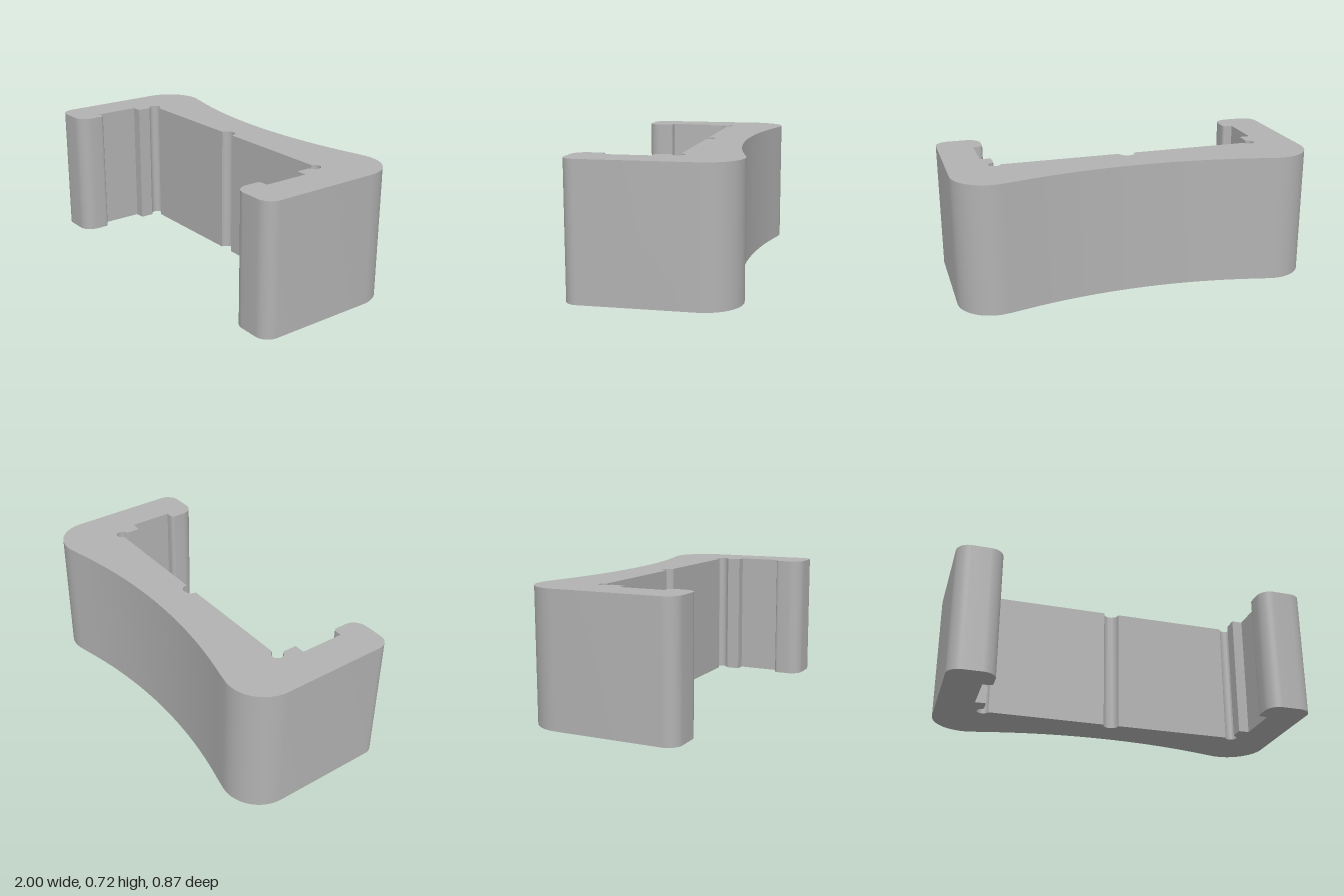
import * as THREE from 'three';
import { toCreasedNormals } from 'three/addons/utils/BufferGeometryUtils.js';

const HEIGHT = 0.72;

// Points along a circular arc, angles in degrees
function arc(cx, cy, r, from, to, steps) {
  return Array.from({ length: steps + 1 }, (_, i) => {
    const a = THREE.MathUtils.degToRad(from + ((to - from) * i) / steps);
    return new THREE.Vector2(cx + r * Math.cos(a), cy + r * Math.sin(a));
  });
}
const pt = (x, y) => new THREE.Vector2(x, y);

// Left half of the plan outline (shape y points to the back)
function halfOutline() {
  return [
    // centre groove and inner wall
    ...arc(0, 0.1, 0.045, 90, 0, 8),
    // relief groove in the inner corner
    ...arc(0.74, 0.093, 0.033, 168, -78, 18),
    // step and channel
    pt(0.74, 0.052), pt(0.74, -0.025), pt(0.8, -0.025), pt(0.8, -0.275),
    // hooked lip at the end of the arm
    ...arc(0.765, -0.295, 0.02, 90, 180, 6),
    ...arc(0.82, -0.36, 0.075, 180, 270, 10),
    ...arc(0.925, -0.36, 0.075, 270, 360, 10),
    // rounded back shoulder
    ...arc(0.8, 0.237, 0.2, 0, 105.6, 20),
    // concave back
    ...arc(0, 3.11, 2.78, 285.6, 270, 14).slice(1),
  ];
}

export function createModel() {
  const grey = new THREE.MeshStandardMaterial({ color: 0xb2b2b2 });
  grey.name = 'grey';

  const half = halfOutline();
  const mirrored = half.slice(1, -1).reverse().map((p) => pt(-p.x, p.y));
  const shape = new THREE.Shape([...half, ...mirrored]);

  // Extrude the outline upwards
  const geometry = new THREE.ExtrudeGeometry(shape, { depth: HEIGHT, bevelEnabled: false });
  geometry.rotateX(-Math.PI / 2);

  const bracket = new THREE.Mesh(toCreasedNormals(geometry, Math.PI / 6), grey);
  bracket.name = 'clipBracket';

  const group = new THREE.Group();
  group.name = 'clip';
  group.add(bracket);
  return group;
}
